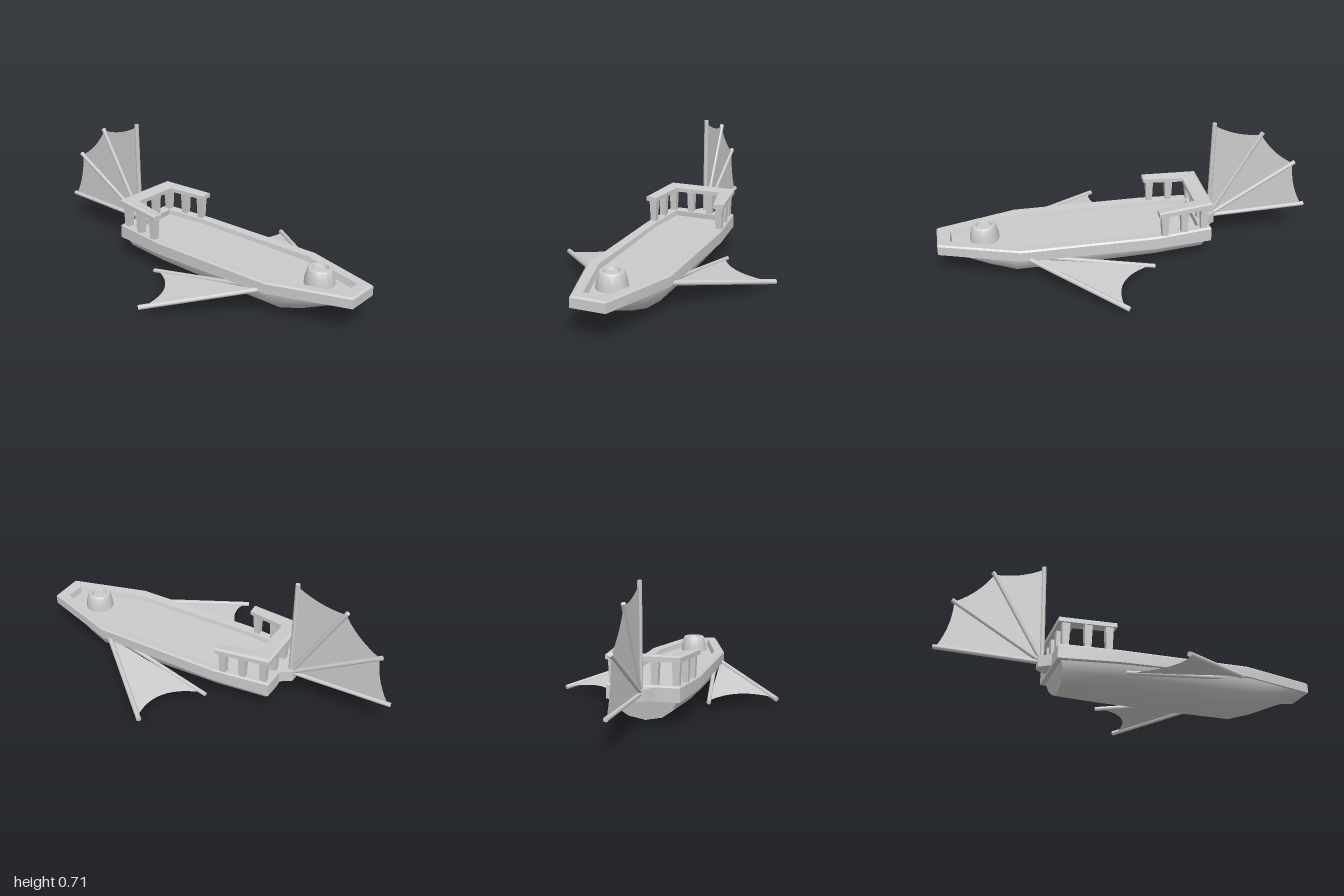
import * as THREE from 'three';
import { toCreasedNormals } from 'three/addons/utils/BufferGeometryUtils.js';

const material = new THREE.MeshStandardMaterial({ color: 0xcccccc });
const thin = new THREE.MeshStandardMaterial({ color: 0xcccccc, side: THREE.DoubleSide });
const V = (x, y, z) => new THREE.Vector3(x, y, z);

function add(parent, name, geometry, mat = material) {
  const mesh = new THREE.Mesh(geometry, mat);
  mesh.name = name;
  parent.add(mesh);
  return mesh;
}

function fromTriangles(points, crease) {
  const g = new THREE.BufferGeometry().setFromPoints(points);
  g.computeVertexNormals();
  return toCreasedNormals(g, crease);
}

// Skins a row of closed cross-sections; either loops round or caps both ends.
function loft(rings, loop, crease = 0.6) {
  const tris = [];
  const m = rings[0].length;
  const last = loop ? rings.length : rings.length - 1;
  for (let i = 0; i < last; i++) {
    const p = rings[i], q = rings[(i + 1) % rings.length];
    for (let j = 0; j < m; j++) {
      const k = (j + 1) % m;
      tris.push(p[j], q[j], q[k], p[j], q[k], p[k]);
    }
  }
  if (!loop) {
    const cap = (ring, flip) => {
      const c = ring.reduce((s, p) => s.add(p), V(0, 0, 0)).divideScalar(m);
      ring.forEach((p, j) => {
        const n = ring[(j + 1) % m];
        tris.push(c, flip ? n : p, flip ? p : n);
      });
    };
    cap(rings[0], false);
    cap(rings[rings.length - 1], true);
  }
  return fromTriangles(tris, crease);
}

// Round rod between two points
function rod(parent, name, a, b, r) {
  const mesh = add(parent, name, new THREE.CylinderGeometry(r, r, a.distanceTo(b), 10));
  mesh.position.copy(a).add(b).multiplyScalar(0.5);
  mesh.quaternion.setFromUnitVectors(V(0, 1, 0), b.clone().sub(a).normalize());
}

// Skin stretched from a root to a sagging edge between two rib tips
function membrane(parent, name, root, a, b, sag) {
  const mid = a.clone().add(b).multiplyScalar(0.5).lerp(root, sag * 2);
  const edge = new THREE.QuadraticBezierCurve3(a, mid, b).getPoints(12);
  const tris = [];
  for (let i = 0; i < 12; i++) tris.push(root, edge[i], edge[i + 1]);
  add(parent, name, fromTriangles(tris, 1), thin);
}

export function createModel() {
  const model = new THREE.Group();

  // Hull: x of top, x shift of keel, half width, top y, keel y
  const stations = [
    [-0.40, 0.03, 0.165, 0.14, 0.012],
    [-0.12, 0, 0.195, 0.14, 0.008],
    [0.25, 0, 0.205, 0.145, 0.003],
    [0.60, 0, 0.200, 0.15, 0],
    [0.72, 0, 0.165, 0.152, 0.04],
    [0.86, 0, 0.115, 0.157, 0.105],
    [0.97, 0, 0.080, 0.16, 0.148],
  ];
  const section = [[1, 1], [0.97, 0.8], [0.86, 0.46], [0.52, 0.14], [0, 0]];
  const outline = [
    ...section.map(([w, h]) => [-w, h]),
    ...section.slice(0, -1).reverse(),
  ];
  add(model, 'hull', loft(stations.map(([x, dx, w, top, keel]) =>
    outline.map(([s, h]) => V(x + dx * (1 - h), keel + (top - keel) * h, s * w))), false, 0.75));

  // Gunwale: outer x, z, inner x, z, bottom y, top y for each corner
  const corners = [
    [-0.42, 0.185, -0.36, 0.14, 0.12, 0.198],
    [-0.12, 0.217, -0.12, 0.165, 0.125, 0.193],
    [0.58, 0.217, 0.57, 0.16, 0.138, 0.197],
    [0.992, 0.088, 0.925, 0.055, 0.15, 0.206],
  ];
  const railSection = ([ox, oz, ix, iz, bottom, top], s) => [
    V(ix - 0.01, bottom, s * (iz - 0.015)),
    V(ox, bottom, s * oz),
    V(ox, top - 0.008, s * oz),
    V(ox + (ix - ox) * 0.15, top, s * (oz + (iz - oz) * 0.15)),
    V(ix, top - 0.004, s * iz),
  ];
  const both = (list, fn) => [
    ...list.map((c) => fn(c, 1)),
    ...[...list].reverse().map((c) => fn(c, -1)),
  ];
  add(model, 'gunwale', loft(both(corners, railSection), true, 0.4));

  // Deck, reaching under the gunwale
  const deckShape = new THREE.Shape(both(corners, ([, , ix, iz], s) =>
    new THREE.Vector2(ix + 0.005, -s * (iz + 0.005))));
  const deck = add(model, 'deck', new THREE.ShapeGeometry(deckShape));
  deck.rotation.x = -Math.PI / 2;
  deck.position.y = 0.168;

  // Stern rail: a U-shaped top on tapered posts
  const stern = new THREE.Group();
  stern.name = 'sternRail';
  model.add(stern);
  const uPath = [
    [-0.13, 0.223, -0.13, 0.165, 0.308, 0.336],
    [-0.42, 0.188, -0.335, 0.125, 0.316, 0.345],
  ];
  const capSection = ([ox, oz, ix, iz, bottom, top], s) => [
    V(ix, bottom, s * iz), V(ox, bottom, s * oz),
    V(ox, top - 0.006, s * oz),
    V(ox * 0.8 + ix * 0.2, top, s * (oz * 0.8 + iz * 0.2)),
    V(ix, top - 0.008, s * iz),
  ];
  const uRings = [
    ...uPath.map((c) => capSection(c, -1)),
    ...[...uPath].reverse().map((c) => capSection(c, 1)),
  ];
  add(stern, 'railTop', loft(uRings, false, 0.4));
  for (const s of [-1, 1]) {
    for (const [x, z] of [[-0.165, 0.19], [-0.27, 0.178], [-0.38, 0.16], [-0.385, 0.055]]) {
      const g = new THREE.CylinderGeometry(0.029, 0.022, 0.14, 4, 1).rotateY(Math.PI / 4);
      add(stern, 'railPost', toCreasedNormals(g, 0.4)).position.set(x, 0.25, s * z);
    }
  }

  // Low turret near the bow with a dished top
  const turret = [[0.078, 0.16], [0.074, 0.2], [0.062, 0.246], [0.055, 0.252],
    [0.042, 0.252], [0.036, 0.238], [0, 0.238]].map(([r, y]) => new THREE.Vector2(r, y));
  add(model, 'turret', toCreasedNormals(new THREE.LatheGeometry(turret, 12), 0.6))
    .position.x = 0.75;

  // Wedge-shaped tail mount
  const block = (x, w) => [V(x, 0.13, -w), V(x, 0.13, w), V(x, 0.19, w), V(x, 0.19, -w)];
  add(model, 'tailMount', loft([block(-0.48, 0.022), block(-0.41, 0.07)], false, 0.3));

  // Upright tail fan
  const tail = new THREE.Group();
  tail.name = 'tailFan';
  model.add(tail);
  const pivot = V(-0.455, 0.165, 0);
  const tips = [V(-0.998, 0.175, 0), V(-0.925, 0.44, 0), V(-0.73, 0.632, 0), V(-0.465, 0.71, 0)];
  tips.forEach((tip, i) => {
    rod(tail, 'tailRib', pivot, tip, 0.012);
    if (i > 0) {
      const pull = (t) => t.clone().lerp(pivot, 0.025);
      membrane(tail, 'tailWeb', pivot, pull(tips[i - 1]), pull(tip), 0.035);
    }
  });

  // Drooping side wings
  for (const s of [-1, 1]) {
    const wing = new THREE.Group();
    wing.name = s > 0 ? 'leftWing' : 'rightWing';
    model.add(wing);
    const root = V(0.54, 0.142, s * 0.205);
    const frontTip = V(0.1, 0.042, s * 0.585);
    const rearTip = V(-0.1, 0.052, s * 0.262);
    const rearRoot = V(0.5, 0.135, s * 0.18);
    rod(wing, 'frontRib', root, frontTip, 0.013);
    rod(wing, 'rearRib', rearRoot, rearTip, 0.011);
    membrane(wing, 'wingWeb', root, frontTip.clone().lerp(root, 0.04),
      rearTip.clone().lerp(rearRoot, 0.04), 0.13);
  }
  return model;
}
